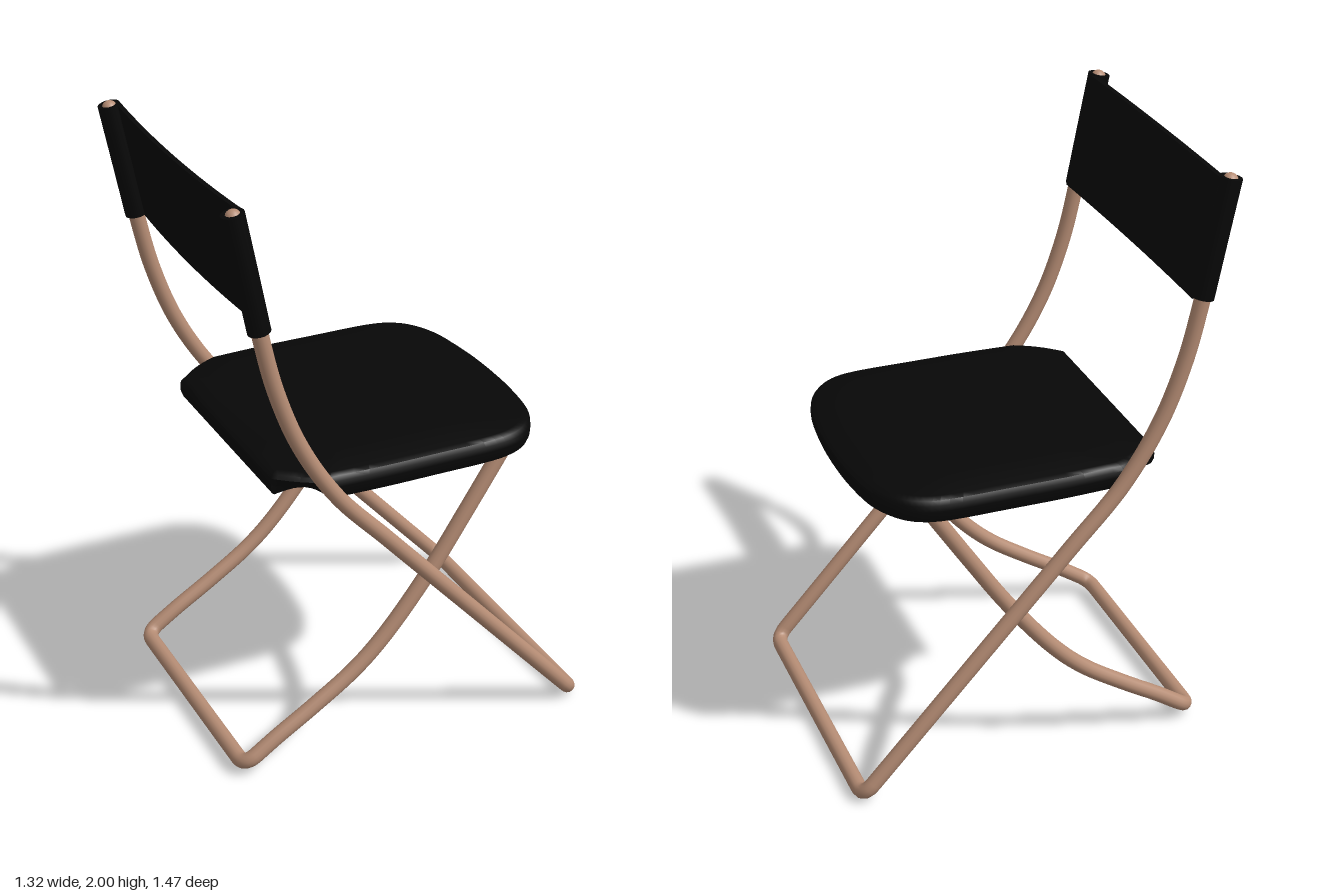
import * as THREE from 'three';
import { toCreasedNormals } from 'three/addons/utils/BufferGeometryUtils.js';

const V = (x, y, z) => new THREE.Vector3(x, y, z);
const R = 0.026;          // tube radius
const OUTER = 0.494;      // half width of the long frame
const INNER = 0.43;       // half width of the short frame

// Side profiles as [y, z], from the top end down to the floor bar
const LONG = [[1.974, 0.59], [1.8, 0.556], [1.6, 0.517], [1.4, 0.469], [1.2, 0.393],
  [1.0, 0.272], [0.8, 0.093], [0.5, -0.18], [0.2, -0.453], [0.028, -0.61]];
const SHORT = [[0.998, -0.35], [0.8, -0.222], [0.6, -0.088], [0.4, 0.072], [0.3, 0.178],
  [0.2, 0.325], [0.12, 0.455], [0.042, 0.572]];

export function createModel() {
  const wood = new THREE.MeshStandardMaterial({ color: 0xb58c74 });
  wood.name = 'tan tube';
  const fabric = new THREE.MeshStandardMaterial({ color: 0x070707, side: THREE.DoubleSide });
  fabric.name = 'black fabric';

  const chair = new THREE.Group();
  chair.name = 'foldingChair';
  const add = (name, geometry, material) => {
    const mesh = new THREE.Mesh(geometry, material);
    mesh.name = name;
    chair.add(mesh);
    return mesh;
  };

  // U-shaped frame: leg, rounded corner, floor bar, rounded corner, leg
  const addFrame = (name, profile, half) => {
    const fillet = 0.05;
    const pts = profile.map(([y, z]) => V(half, y, z));
    const corner = pts[pts.length - 1].clone();
    const before = pts[pts.length - 2].clone().sub(corner).setLength(fillet).add(corner);
    pts[pts.length - 1] = before;
    const after = V(half - fillet, corner.y, corner.z);
    const flip = (p) => V(-p.x, p.y, p.z);
    const path = new THREE.CurvePath();
    path.add(new THREE.CatmullRomCurve3(pts));
    path.add(new THREE.QuadraticBezierCurve3(before, corner, after));
    path.add(new THREE.LineCurve3(after, flip(after)));
    path.add(new THREE.QuadraticBezierCurve3(flip(after), flip(corner), flip(before)));
    path.add(new THREE.CatmullRomCurve3(pts.map(flip).reverse()));
    add(name, new THREE.TubeGeometry(path, 300, R, 14), wood);
    // rounded tube ends
    for (const end of [pts[0], flip(pts[0])]) {
      add(name + 'End', new THREE.SphereGeometry(R, 14, 10), wood).position.copy(end);
    }
  };
  addFrame('longFrame', LONG, OUTER);
  addFrame('shortFrame', SHORT, INNER);

  // Backrest sleeves around the posts, closed by flat discs
  const sleeveR = 0.036;
  for (const side of [1, -1]) {
    const curve = new THREE.CatmullRomCurve3(
      [[1.987, 0.593], [1.8, 0.556], [1.605, 0.518]].map(([y, z]) => V(side * OUTER, y, z)));
    add('backrestSleeve', new THREE.TubeGeometry(curve, 10, sleeveR, 16), fabric);
    for (const t of [0, 1]) {
      const cap = add('sleeveEnd', new THREE.CircleGeometry(sleeveR, 16), fabric);
      cap.position.copy(curve.getPointAt(t));
      cap.quaternion.setFromUnitVectors(V(0, 0, 1), curve.getTangentAt(t).multiplyScalar(t ? 1 : -1));
    }
  }

  // Backrest panel: a box leaned along the posts and bowed slightly
  const panel = new THREE.BoxGeometry(2 * OUTER, 0.384, 0.016, 24, 4, 1);
  const pp = panel.attributes.position;
  for (let i = 0; i < pp.count; i++) {
    const x = pp.getX(i), y = pp.getY(i);
    const bow = 1 - (x / OUTER) ** 2;
    pp.setZ(i, pp.getZ(i) + 0.527 + y * 0.192 + 0.014 * bow);
    pp.setY(i, y + 1.798 - 0.007 * bow);
  }
  panel.computeVertexNormals();
  add('backrestPanel', panel, fabric);

  add('seat', seatGeometry(), fabric);

  // The whole chair stands turned on the floor
  chair.rotation.y = -THREE.MathUtils.degToRad(15.2);
  chair.position.x = 0.006;
  const model = new THREE.Group();
  model.name = 'model';
  model.add(chair);
  return model;
}

// Seat outline; scoop hollows (or, if negative, swells) the rear corners
function seatOutline(scoop) {
  const edge = new THREE.SplineCurve([[0, -0.535], [0.14, -0.53], [0.3, -0.507], [0.4, -0.46],
    [0.455, -0.395], [0.477, -0.3], [0.479, -0.1], [0.479, 0.1], [0.472, 0.285]]
    .map(([x, z]) => new THREE.Vector2(x, z)));
  const half = edge.getPoints(32);
  const a = half[half.length - 1], b = new THREE.Vector2(0.37, 0.436);
  for (let i = 1; i <= 10; i++) {
    const p = a.clone().lerp(b, i / 10);
    const d = scoop * Math.sin(Math.PI * i / 10);
    half.push(new THREE.Vector2(p.x - 0.83 * d, p.y - 0.55 * d));
  }
  half.push(new THREE.Vector2(0.2, 0.436), new THREE.Vector2(0, 0.436));
  const mirrored = half.slice(1, -1).reverse().map((p) => new THREE.Vector2(-p.x, p.y));
  return half.concat(mirrored);
}

// Seat shell lofted from rings [height, scale, scoop]: recessed underside, rim, rounded top
function seatGeometry() {
  const rings = [[1.02, 0.001, 0], [1.02, 0.5, 0], [1.02, 0.92, 0.02], [1.005, 0.945, 0.045],
    [0.976, 0.95, 0.06], [0.971, 0.965, 0.06], [0.98, 0.985, 0.058],
    [0.998, 0.998, 0.05], [1.015, 1, 0.015], [1.035, 0.996, -0.008], [1.05, 0.978, -0.01],
    [1.057, 0.94, -0.01], [1.057, 0.6, 0], [1.057, 0.3, 0], [1.057, 0.001, 0]];
  const position = [], index = [];
  rings.forEach(([y, s, scoop], r) => {
    const outline = seatOutline(scoop);
    const n = outline.length;
    outline.forEach((p, i) => {
      const x = p.x * s, z = (p.y + 0.047) * s - 0.047;
      const sag = y > 1.04 ? 0.01 * (1 - (x / 0.479) ** 2) : 0;
      position.push(x, y - sag, z);
      if (r === 0) return;
      const j = (i + 1) % n, lo = (r - 1) * n, hi = r * n;
      index.push(lo + i, hi + i, hi + j, lo + i, hi + j, lo + j);
    });
  });
  const g = new THREE.BufferGeometry();
  g.setAttribute('position', new THREE.Float32BufferAttribute(position, 3));
  g.setIndex(index);
  return toCreasedNormals(g, 0.7);
}
